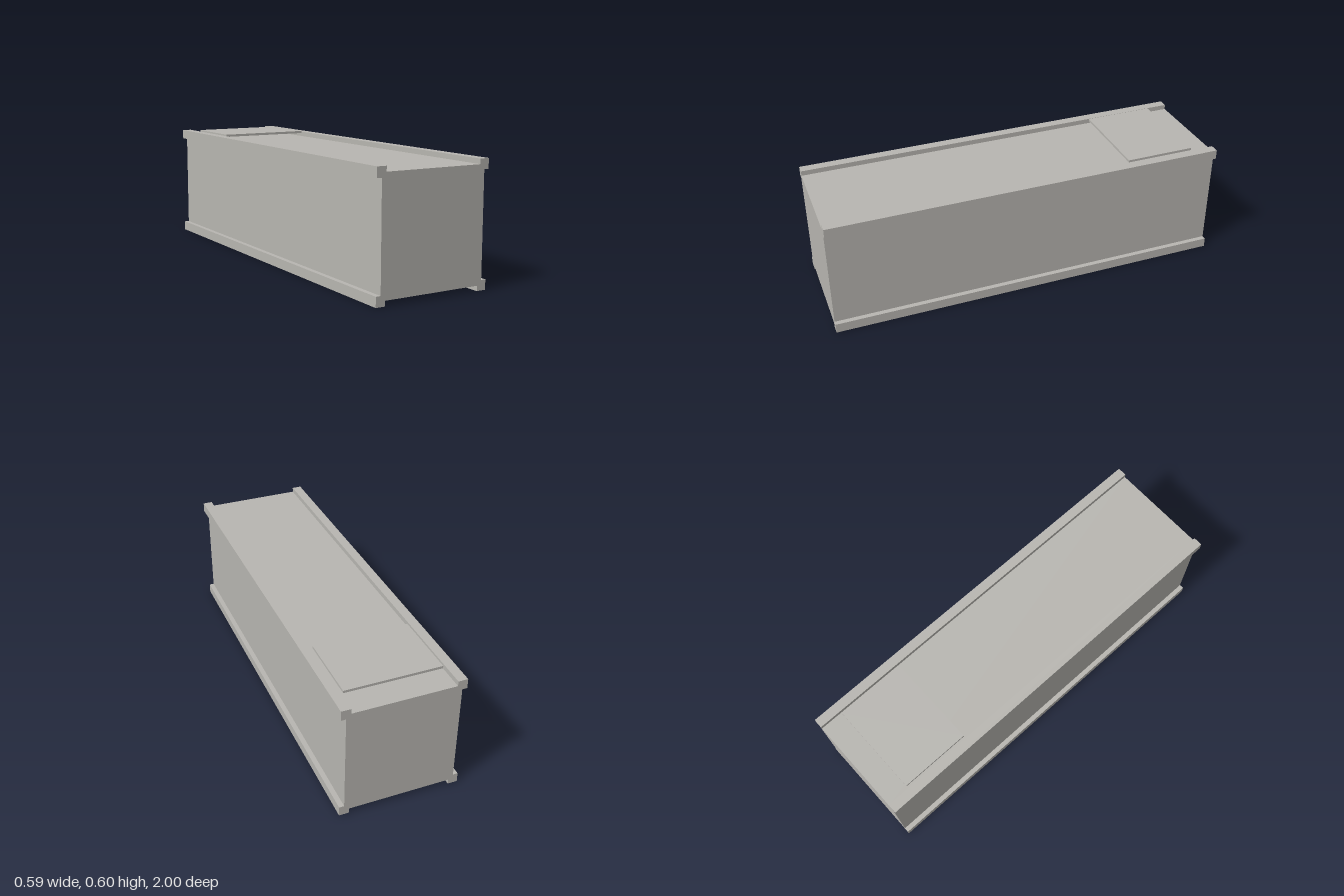
import * as THREE from 'three';

const LENGTH = 2;
const WALL = 0.27;      // half width of the body
const RAIL_OUT = 0.294; // outer edge of the corner rails
const RAIL_IN = 0.247;  // inner edge of the corner rails
const MID = 0.295;      // middle height
const HALF = 0.295;     // half height over the rails
const PANEL = 0.2705;   // half height of roof and floor
const RAIL = 0.247;     // half height where the rails meet the walls

export function createModel() {
  const group = new THREE.Group();
  const grey = new THREE.MeshStandardMaterial({ color: 0xb8b6b1 });
  grey.name = 'warm grey';

  // Body with its four corner rails: one mirrored cross-section run lengthwise
  const corner = [
    [WALL, RAIL], [RAIL_OUT, RAIL], [RAIL_OUT, HALF],
    [RAIL_IN, HALF], [RAIL_IN, PANEL],
  ];
  const outline = [];
  for (const [sx, sy] of [[1, 1], [-1, 1], [-1, -1], [1, -1]]) {
    const points = corner.map(([x, y]) => new THREE.Vector2(x * sx, MID + y * sy));
    outline.push(...(sx * sy > 0 ? points : points.reverse()));
  }
  const bodyGeometry = new THREE.ExtrudeGeometry(new THREE.Shape(outline), {
    depth: LENGTH, bevelEnabled: false,
  });
  bodyGeometry.translate(0, 0, -LENGTH / 2);
  const body = new THREE.Mesh(bodyGeometry, grey);
  body.name = 'railedContainerBody';
  group.add(body);

  // Flat hatch held just above the roof near the back
  const hatch = new THREE.Mesh(new THREE.BoxGeometry(0.47, 0.012, 0.35), grey);
  hatch.name = 'roofHatch';
  hatch.position.set(0, 0.59, -0.71);
  group.add(hatch);

  return group;
}
